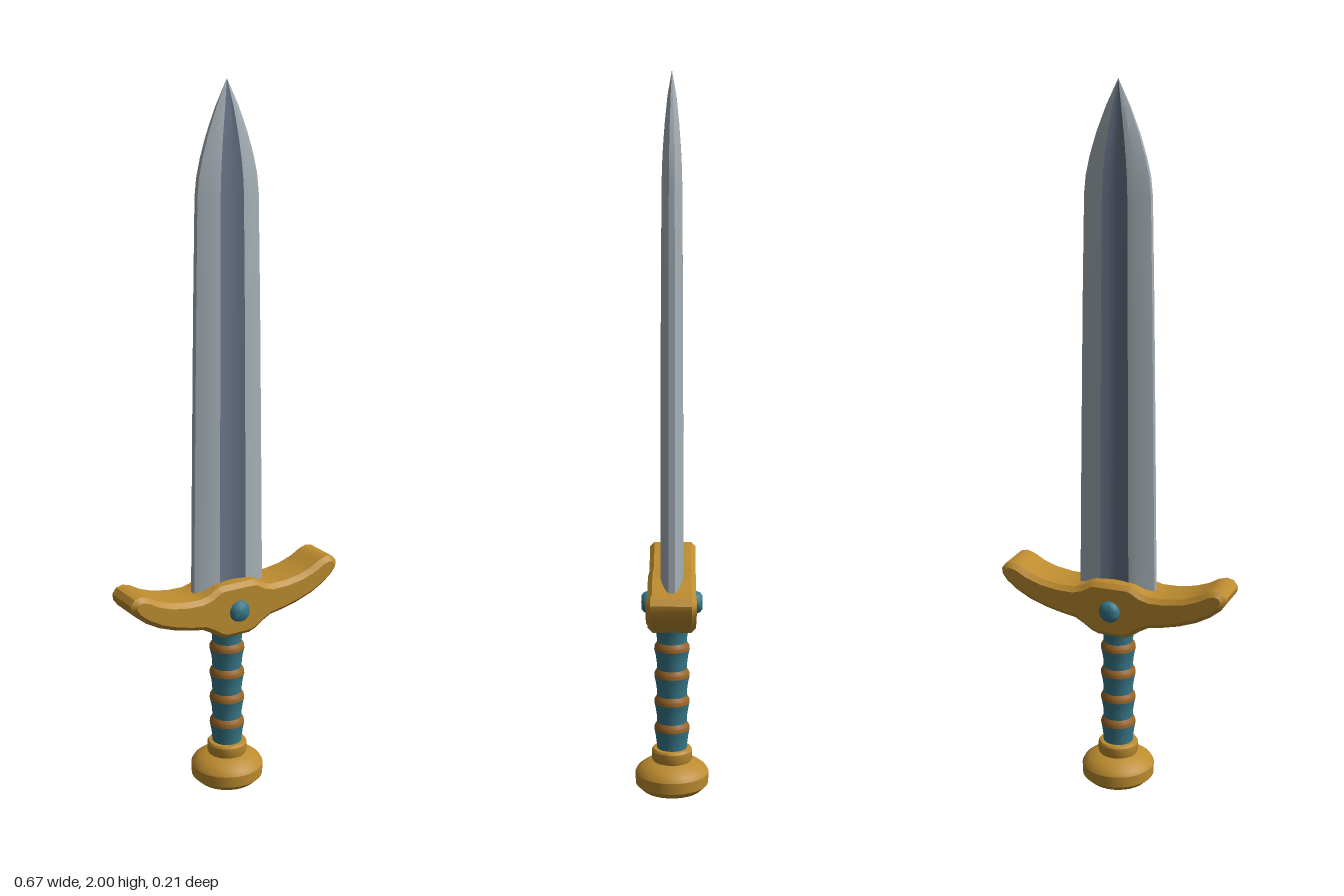
import * as THREE from 'three';
import { toCreasedNormals } from 'three/addons/utils/BufferGeometryUtils.js';

const mat = (name, color, side = THREE.FrontSide) => {
  const m = new THREE.MeshStandardMaterial({ color, side });
  m.name = name;
  return m;
};

export function createModel() {
  const gold = mat('gold', 0xbd8c2f);
  const steel = mat('steel', 0xa6b0b7, THREE.DoubleSide);
  const darkSteel = mat('dark steel', 0x667386, THREE.DoubleSide);
  const teal = mat('teal', 0x38798a);
  const bronze = mat('bronze', 0x9a6526);

  const model = new THREE.Group();
  model.name = 'sword';
  const add = (name, geometry, material, parent = model) => {
    const mesh = new THREE.Mesh(geometry, material);
    mesh.name = name;
    parent.add(mesh);
    return mesh;
  };
  const lathe = (profile, segments, crease = 0.5) => toCreasedNormals(
    new THREE.LatheGeometry(profile.map(([r, y]) => new THREE.Vector2(r, y)), segments), crease);

  // Blade levels: height, half width, thickness factor
  const levels = [
    [0.56, 0.112, 1], [1.0, 0.106, 0.97], [1.4, 0.1, 0.93], [1.7, 0.094, 0.86],
    [1.75, 0.089, 0.82], [1.8, 0.078, 0.74], [1.86, 0.06, 0.6], [1.93, 0.033, 0.38], [2, 0, 0],
  ];
  // Sweep a strip of [x fraction, z] points up through the levels
  const loft = (points) => {
    const pos = [], index = [], n = points.length;
    for (const [y, w, t] of levels) for (const [x, z] of points) pos.push(x * w, y, z * t);
    for (let j = 0; j < levels.length - 1; j++) {
      for (let i = 0; i < n - 1; i++) {
        const a = j * n + i, b = a + 1, c = b + n, d = a + n;
        index.push(a, b, c);
        if (j < levels.length - 2) index.push(a, c, d);
      }
    }
    const g = new THREE.BufferGeometry();
    g.setAttribute('position', new THREE.Float32BufferAttribute(pos, 3));
    g.setIndex(index);
    return toCreasedNormals(g, 0.35);
  };
  const blade = new THREE.Group();
  blade.name = 'blade';
  model.add(blade);
  const edge = [[0.38, 0.032], [0.62, 0.028], [1, 0.009], [1, -0.009], [0.62, -0.028], [0.38, -0.032]];
  const fuller = [[-0.38, 0.032], [-0.2, 0.025], [0, 0.022], [0.2, 0.025], [0.38, 0.032]];
  const turned = (pts) => pts.map(([x, z]) => [-x, -z]);
  add('leftEdge', loft(edge), steel, blade);
  add('rightEdge', loft(turned(edge)), steel, blade);
  add('frontFuller', loft(fuller), darkSteel, blade);
  add('backFuller', loft(turned(fuller)), darkSteel, blade);

  // Crossguard: mirrored outline with upswept, rounded arms
  const arm = [
    [0.05, 0.625], [0.065, 0.621], [0.09, 0.606], [0.115, 0.599], [0.16, 0.6], [0.21, 0.608],
    [0.25, 0.622], [0.28, 0.639], [0.303, 0.646], [0.323, 0.641], [0.335, 0.625], [0.333, 0.608],
    [0.32, 0.59], [0.29, 0.566], [0.25, 0.544], [0.2, 0.526], [0.15, 0.514], [0.11, 0.507],
    [0.085, 0.493], [0.06, 0.476], [0.04, 0.468],
  ];
  const outline = [...arm, ...arm.map(([x, y]) => [-x, y]).reverse()];
  const bevel = 0.013;
  const guard = new THREE.ExtrudeGeometry(
    new THREE.Shape(outline.map(([x, y]) => new THREE.Vector2(x, y))),
    { depth: 0.108, bevelEnabled: true, bevelSize: bevel, bevelOffset: -bevel, bevelThickness: bevel, bevelSegments: 1 });
  guard.translate(0, 0, -0.054);
  add('crossguard', toCreasedNormals(guard, 0.55), gold);

  // Domed gems on both faces of the guard
  for (const side of [1, -1]) {
    const gem = add(side > 0 ? 'frontGem' : 'backGem',
      lathe([[0.031, 0.055], [0.031, 0.071], [0.028, 0.078], [0.02, 0.085], [0, 0.086]], 16, 0.7), teal);
    gem.rotation.x = side * Math.PI / 2;
    gem.position.y = 0.545;
  }

  // Grip: swelling wraps, each finished with a sloped bronze band
  const bands = [0.187, 0.265, 0.343, 0.421];
  const grip = new THREE.Group();
  grip.name = 'grip';
  model.add(grip);
  let start = 0.11;
  for (const y of [...bands, 0.49]) {
    const end = y - 0.011, h = end - start;
    add('gripWrap', lathe([[0.042, start], [0.043, start + h * 0.35], [0.046, start + h * 0.7], [0.05, end]], 20), teal, grip);
    if (y < 0.48) add('gripBand', lathe([[0.05, end], [0.049, y], [0.042, y + 0.011]], 20), bronze, grip);
    start = y + 0.011;
  }

  // Pommel with collar
  add('pommel', lathe([
    [0, 0], [0.084, 0], [0.103, 0.018], [0.104, 0.05], [0.097, 0.062], [0.083, 0.073], [0.06, 0.084], [0.05, 0.086],
  ], 32), gold);
  add('collar', lathe([
    [0.05, 0.08], [0.054, 0.083], [0.057, 0.09], [0.057, 0.115], [0.053, 0.121], [0.038, 0.122],
  ], 32), gold);

  return model;
}
